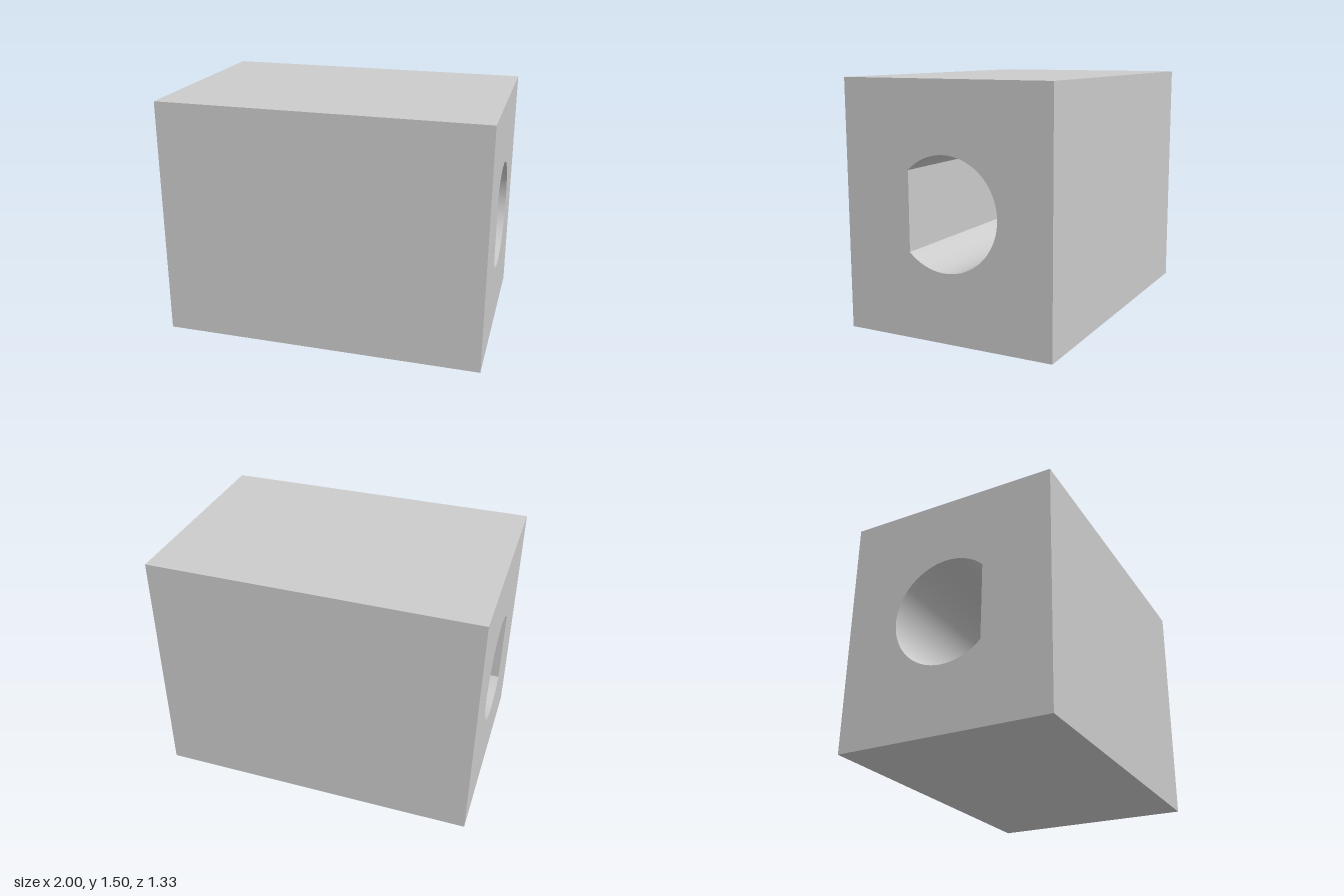
import * as THREE from 'three';
import { toCreasedNormals } from 'three/addons/utils/BufferGeometryUtils.js';

const LENGTH = 2, HEIGHT = 1.5, DEPTH = 1.333;
const RADIUS = 0.335, CENTRE_Y = HEIGHT / 2;

export function createModel() {
  const group = new THREE.Group();

  // Rectangular end profile, shape x becoming world z
  const profile = new THREE.Shape();
  profile.moveTo(-DEPTH / 2, 0);
  profile.lineTo(DEPTH / 2, 0);
  profile.lineTo(DEPTH / 2, HEIGHT);
  profile.lineTo(-DEPTH / 2, HEIGHT);
  profile.closePath();

  // Teardrop bore: round back, 90 degree point towards the front
  const bore = new THREE.Path();
  bore.moveTo(RADIUS * Math.SQRT2, CENTRE_Y);
  bore.absarc(0, CENTRE_Y, RADIUS, Math.PI / 4, Math.PI * 7 / 4, false);
  bore.closePath();
  profile.holes.push(bore);

  // Block extruded along its length, then turned to run along x
  const geometry = new THREE.ExtrudeGeometry(profile, {
    depth: LENGTH, bevelEnabled: false, curveSegments: 48,
  });
  geometry.translate(0, 0, -LENGTH / 2);
  geometry.rotateY(-Math.PI / 2);

  const block = new THREE.Mesh(
    toCreasedNormals(geometry, 0.5),
    new THREE.MeshStandardMaterial({ color: 0xcccccc }),
  );
  block.name = 'blockWithTeardropBore';
  group.add(block);
  return group;
}
